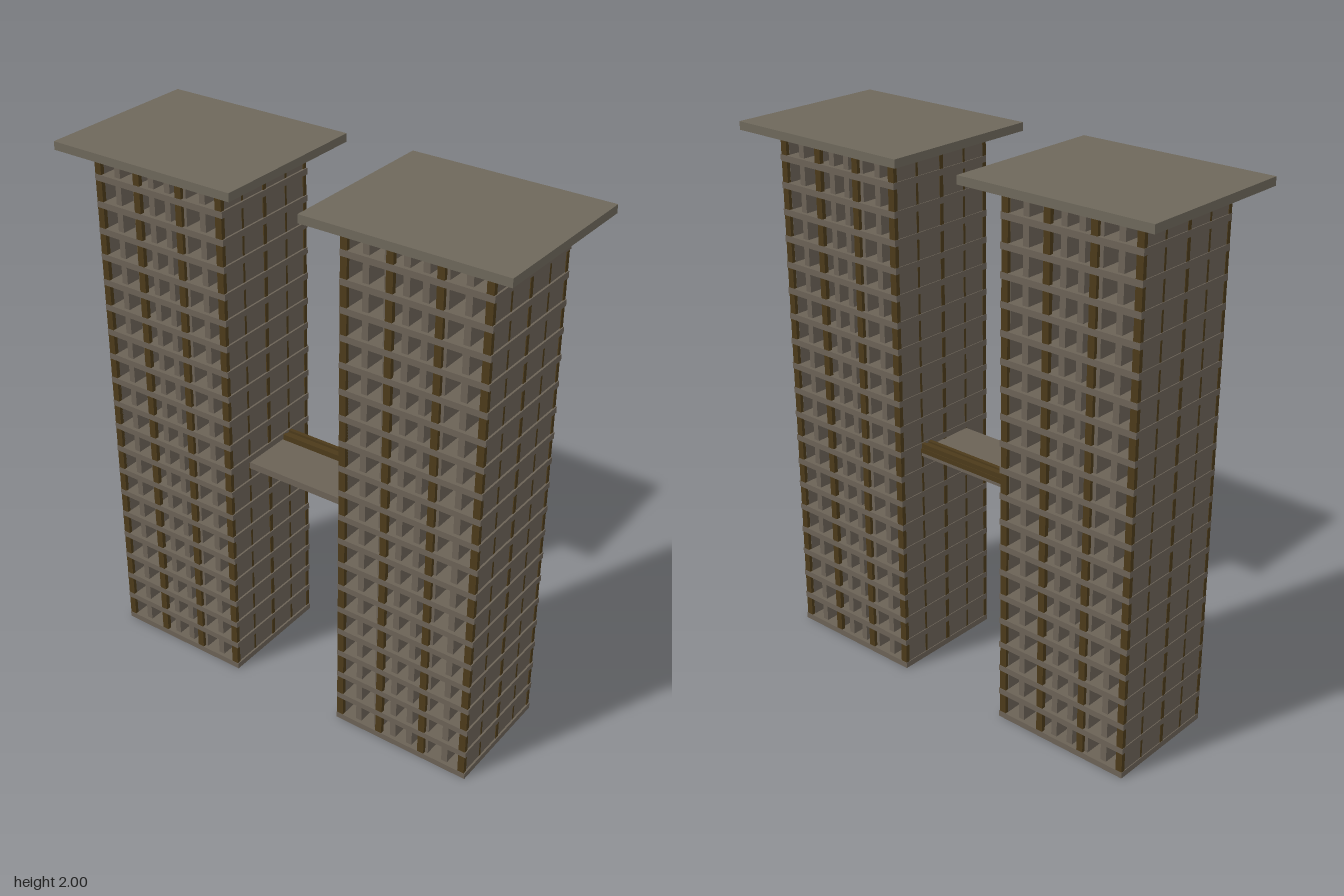
import * as THREE from 'three';

const mat = (name, color) => {
  const m = new THREE.MeshStandardMaterial({ color });
  m.name = name;
  return m;
};

export function createModel() {
  const roofGrey = mat('roof grey', 0x6e685b);
  const stone = mat('warm grey', 0x6b6256);
  const timber = mat('dark brown', 0x4c3a1a);

  // Box from min/max extents
  const box = (parent, name, material, [x0, x1], [y0, y1], [z0, z1]) => {
    const mesh = new THREE.Mesh(new THREE.BoxGeometry(x1 - x0, y1 - y0, z1 - z0), material);
    mesh.position.set((x0 + x1) / 2, (y0 + y1) / 2, (z0 + z1) / 2);
    mesh.name = name;
    parent.add(mesh);
    return mesh;
  };

  const wallZ = [0.761, 0.687, 0.607, 0.538, 0.469, 0.4, 0.321, 0.247];
  const postZ = [0.763, 0.595, 0.415, 0.246];
  const postX = [-0.226, -0.008, 0.214];
  const jointX = [-0.226, -0.122, -0.008, 0.11, 0.214];

  function tower() {
    const g = new THREE.Group();
    g.name = 'tower';

    // Overhanging roof slab
    box(g, 'roof', roofGrey, [-0.315, 0.315], [1.97, 2], [0.134, 0.877]);

    // Floor slabs
    for (let i = 0; i < 20; i++) {
      const y = i * 0.0979;
      box(g, 'floorSlab', stone, [-0.235, 0.223], [y, y + 0.023], [0.232, 0.78]);
    }

    // Cross walls, each in four panels with narrow joints
    wallZ.forEach((z) => {
      for (let k = 0; k < 4; k++) {
        box(g, 'wallPanel', stone, [jointX[k] + 0.005, jointX[k + 1] - 0.005],
          [0.01, 1.95], [z - 0.012, z + 0.012]);
      }
    });

    // Main posts carrying the roof
    for (const x of postX) {
      for (const z of postZ) {
        box(g, 'post', timber, [x - 0.008, x + 0.008], [0.01, 1.98], [z - 0.013, z + 0.013]);
      }
    }

    // Thin battens filling the remaining joints of the end walls
    for (const x of [jointX[1], jointX[3]]) {
      for (const z of [wallZ[0], wallZ[7]]) {
        box(g, 'batten', timber, [x - 0.005, x + 0.005], [0.01, 1.95], [z - 0.0125, z + 0.0125]);
      }
    }
    return g;
  }

  const model = new THREE.Group();
  model.name = 'twinTowers';
  const front = tower();
  front.name = 'frontTower';
  const back = tower();
  back.name = 'backTower';
  back.position.z = -1.008;
  model.add(front, back);

  // Bridge deck with a stack of beams along one edge
  const bridge = new THREE.Group();
  bridge.name = 'bridge';
  box(bridge, 'deck', stone, [-0.125, 0.114], [0.852, 0.878], [-0.278, 0.295]);
  [[0.067, 0.9], [0.084, 0.895], [0.101, 0.902]].forEach(([x, top]) => {
    box(bridge, 'beam', timber, [x, x + 0.014], [0.867, top], [-0.24, 0.24]);
  });
  box(bridge, 'edgeBeam', timber, [0.112, 0.117], [0.866, 0.884], [-0.24, 0.24]);
  model.add(bridge);

  return model;
}
